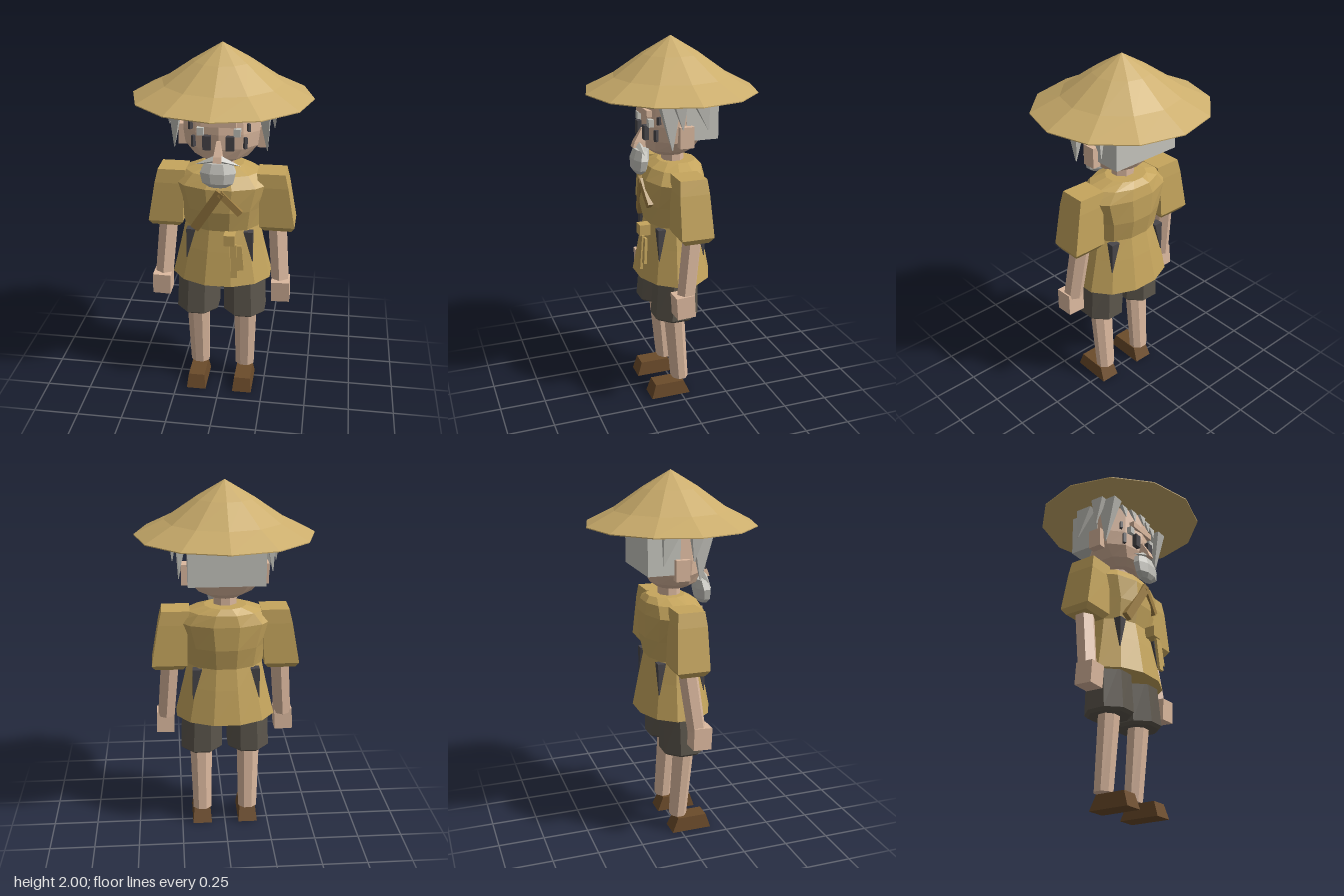
import * as THREE from 'three';

const mat = (name, color, extra = {}) => {
  const m = new THREE.MeshStandardMaterial({ color, flatShading: true, ...extra });
  m.name = name;
  return m;
};

// Closed loft through elliptical rings [y, cx, cz, rx, rz], listed bottom to top.
// With flat = true, faces (not corners) point along the axes and reach rx and rz.
function loft(rings, n, flat = true) {
  const pos = [];
  const off = flat ? Math.PI / n : 0;
  const grow = flat ? 1 / Math.cos(off) : 1;
  const pt = ([y, cx, cz, rx, rz], i) => {
    const a = (i / n) * Math.PI * 2 + off;
    return [cx + Math.cos(a) * rx * grow, y, cz + Math.sin(a) * rz * grow];
  };
  const first = rings[0], last = rings[rings.length - 1];
  for (let i = 0; i < n; i++) {
    for (let k = 0; k < rings.length - 1; k++) {
      const a = pt(rings[k], i), b = pt(rings[k], i + 1);
      const c = pt(rings[k + 1], i), d = pt(rings[k + 1], i + 1);
      pos.push(...a, ...c, ...b, ...b, ...c, ...d);
    }
    pos.push(first[1], first[0], first[2], ...pt(first, i), ...pt(first, i + 1));
    pos.push(last[1], last[0], last[2], ...pt(last, i + 1), ...pt(last, i));
  }
  const g = new THREE.BufferGeometry();
  g.setAttribute('position', new THREE.Float32BufferAttribute(pos, 3));
  g.computeVertexNormals();
  return g;
}

export function createModel() {
  const straw = mat('straw', 0xcbad6c);
  const cloth = mat('ochre cloth', 0xc5a55d);
  const fold = mat('dark ochre cloth', 0xa08044);
  const skin = mat('skin', 0xdcb99f);
  const hair = mat('grey hair', 0xc6c5be);
  const trouser = mat('dark trousers', 0x5d574d);
  const dark = mat('dark detail', 0x48464a);
  const leather = mat('brown leather', 0x6b4b2a);

  const model = new THREE.Group();
  const add = (name, geo, material, p = [0, 0, 0], r = [0, 0, 0]) => {
    const m = new THREE.Mesh(geo, material);
    m.name = name;
    m.position.set(...p);
    m.rotation.set(...r);
    model.add(m);
    return m;
  };
  const box = (name, size, material, p, r) => add(name, new THREE.BoxGeometry(...size), material, p, r);
  // Pointed piece hanging from a top centre to a tip
  const spike = (name, top, tip, rx, rz, material) =>
    add(name, loft([[tip[1], tip[0], tip[2], 0.002, 0.002], [top[1], top[0], top[2], rx, rz]], 4), material);

  // Hat
  add('strawHat', loft([
    [1.72, 0, 0, 0.47, 0.452], [1.725, 0, 0, 0.47, 0.452], [1.8, 0, 0, 0.315, 0.305],
    [1.91, 0, 0, 0.152, 0.15], [2, 0, 0, 0, 0]], 12, false), straw);

  // Head and neck
  add('head', loft([
    [1.39, 0, 0.01, 0.08, 0.08], [1.42, 0, 0.01, 0.14, 0.12], [1.48, 0, 0, 0.19, 0.145],
    [1.56, 0, 0, 0.2, 0.15], [1.74, 0, 0, 0.19, 0.14]], 10), skin);
  add('neck', loft([[1.3, 0, -0.01, 0.06, 0.055], [1.43, 0, -0.01, 0.06, 0.055]], 8), skin);
  add('nose', loft([[1.43, 0, 0.18, 0.022, 0.035], [1.46, 0, 0.175, 0.02, 0.03], [1.53, 0, 0.15, 0.01, 0.012]], 4), skin);
  box('browRidge', [0.18, 0.035, 0.03], skin, [0, 1.62, 0.145]);

  // Hair, moustache and beard
  add('backHair', loft([[1.49, 0, -0.105, 0.2, 0.085], [1.75, 0, -0.1, 0.2, 0.09]], 4), hair);
  add('beard', loft([
    [1.29, 0, 0.18, 0.045, 0.02], [1.315, 0, 0.18, 0.08, 0.036],
    [1.37, 0, 0.175, 0.092, 0.042], [1.42, 0, 0.165, 0.07, 0.035]], 8), hair);
  for (let i = 0; i < 5; i++) {
    const x = (i - 2) * 0.07;
    spike('fringeLock', [x, 1.74, 0.145 - Math.abs(x) * 0.2], [x + 0.015, 1.66, 0.16 - Math.abs(x) * 0.2], 0.035, 0.015, hair);
  }

  // Torso, collar and skirt of the tunic
  add('tunicTop', loft([
    [1.01, 0, 0, 0.2, 0.14], [1.13, 0, 0, 0.22, 0.165], [1.26, 0, -0.002, 0.26, 0.165],
    [1.32, 0, -0.015, 0.2, 0.14], [1.35, 0, -0.03, 0.11, 0.1]], 12), cloth);
  add('tunicSkirt', loft([
    [0.71, 0, 0, 0.27, 0.2], [0.9, 0, 0, 0.225, 0.165], [1.03, 0, 0, 0.198, 0.138]], 12), cloth);

  // Crossed lapel, knot and hanging sash ends
  box('lapel', [0.05, 0.27, 0.03], fold, [-0.06, 1.14, 0.152], [0.05, -0.12, -0.56]);
  box('lapelFold', [0.035, 0.16, 0.03], fold, [0.06, 1.19, 0.16], [0, 0.1, 0.75]);
  box('sashKnot', [0.06, 0.06, 0.06], cloth, [0.062, 0.99, 0.175]);
  box('sashEnd', [0.035, 0.19, 0.015], cloth, [0.087, 0.87, 0.197], [-0.08, 0, 0.03]);
  box('sashEnd', [0.035, 0.14, 0.015], cloth, [0.117, 0.885, 0.187], [-0.08, 0, 0.1]);

  for (const s of [-1, 1]) {
    // Face details
    box('eye', [0.042, 0.075, 0.025], dark, [s * 0.06, 1.52, 0.158]);
    box('eyebrow', [0.035, 0.04, 0.03], hair, [s * 0.095, 1.575, 0.142]);
    box('eyeCrease', [0.016, 0.06, 0.02], dark, [s * 0.134, 1.515, 0.125], [0, s * 0.6, 0]);
    box('templeCrease', [0.014, 0.04, 0.02], dark, [s * 0.15, 1.595, 0.115], [0, s * 0.6, 0]);
    box('ear', [0.045, 0.11, 0.075], skin, [s * 0.208, 1.515, -0.01]);
    const half = add('moustache', new THREE.ConeGeometry(0.024, 0.12, 4), hair, [s * 0.06, 1.425, 0.18]);
    half.rotation.z = -s * 1.85;

    // Side locks
    spike('frontLock', [s * 0.225, 1.73, 0.09], [s * 0.243, 1.46, 0.075], 0.035, 0.06, hair);
    spike('outerLock', [s * 0.27, 1.73, 0.05], [s * 0.275, 1.57, 0.03], 0.025, 0.04, hair);
    spike('rearLock', [s * 0.23, 1.73, -0.07], [s * 0.24, 1.55, -0.12], 0.025, 0.05, hair);

    // Sleeve with a turned-in hem
    add('sleeve', loft([
      [0.995, s * 0.305, -0.01, 0.075, 0.065], [1.025, s * 0.303, -0.01, 0.095, 0.088],
      [1.25, s * 0.28, -0.005, 0.078, 0.08], [1.325, s * 0.265, -0.005, 0.075, 0.072]], 4), cloth);

    // Forearm and hand
    add('forearm', loft([[0.68, s * 0.328, 0.03, 0.046, 0.044], [1.03, s * 0.3, -0.015, 0.048, 0.046]], 6), skin);
    box('hand', [0.1, 0.12, 0.1], skin, [s * 0.333, 0.642, 0.047], [0.05, 0, s * 0.03]);

    // Shorts, shin and shoe
    add('shortsLeg', loft([
      [0.485, s * 0.132, 0.025, 0.1, 0.105], [0.5, s * 0.132, 0.025, 0.115, 0.122],
      [0.76, s * 0.125, 0.015, 0.11, 0.11]], 8), trouser);
    add('shin', loft([[0.095, s * 0.132, -0.005, 0.052, 0.045], [0.52, s * 0.135, 0.03, 0.063, 0.052]], 8), skin);
    add('shoe', loft([[0, s * 0.133, 0.062, 0.055, 0.113], [0.08, s * 0.133, 0.067, 0.046, 0.083]], 4), leather);

    // Dark pointed tabs around the waist
    for (const f of [-1, 1])
      spike('waistTab', [s * 0.155, 1.012, f * 0.11], [s * 0.18, 0.84, f * 0.127], 0.025, 0.022, dark);
  }

  return model;
}
